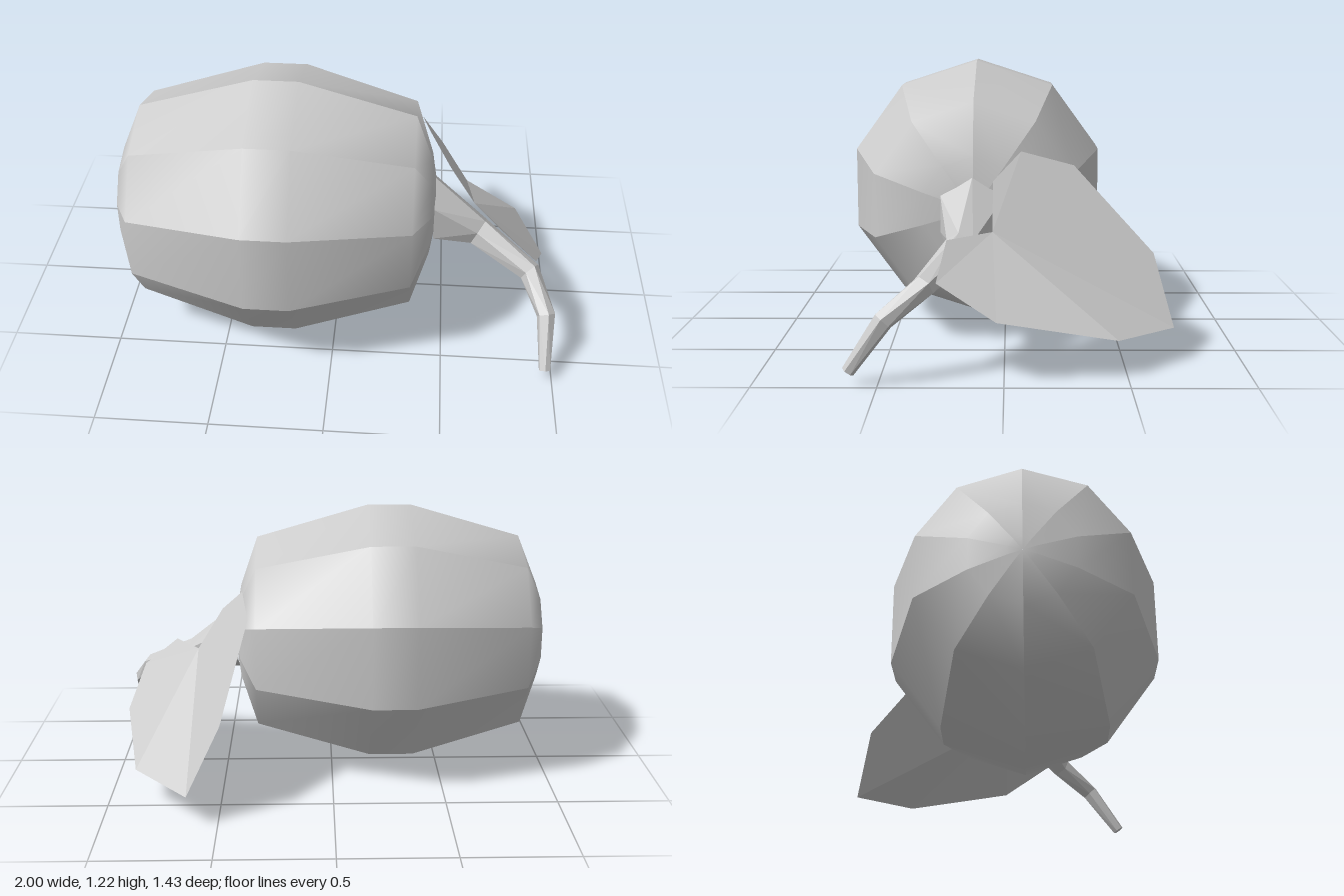
import * as THREE from 'three';

const grey = (opts = {}) => new THREE.MeshStandardMaterial({ color: 0xcccccc, ...opts });

function makeGeometry(points, index) {
  const g = new THREE.BufferGeometry().setFromPoints(points);
  g.setIndex(index);
  g.computeVertexNormals();
  return g;
}

// Skins a list of rings panel by panel: smooth along each panel, sharp between panels
function skinRings(rings) {
  const points = [], index = [], sides = rings[0].length;
  for (let i = 0; i < sides; i++) {
    const start = points.length;
    rings.forEach((ring, j) => {
      points.push(ring[i], ring[(i + 1) % sides]);
      if (j === 0) return;
      const a = start + (j - 1) * 2;
      index.push(a, a + 1, a + 2, a + 1, a + 3, a + 2);
    });
  }
  return makeGeometry(points, index);
}

// Regular ring around a centre, spanned by two axes
function ring(center, u, v, radius, sides) {
  return Array.from({ length: sides }, (_, i) => {
    const a = (i / sides) * Math.PI * 2;
    return center.clone()
      .addScaledVector(u, radius * Math.cos(a))
      .addScaledVector(v, radius * Math.sin(a));
  });
}

// Ten-sided ribbed body lying along x
function createBody() {
  const profile = [[-1, 0.001], [-1, 0.06], [-0.975, 0.23], [-0.88, 0.46], [-0.37, 0.61],
    [-0.17, 0.61], [0.345, 0.46], [0.425, 0.23], [0.455, 0.06], [0.455, 0.001]];
  const up = new THREE.Vector3(0, 1, 0), front = new THREE.Vector3(0, 0, 1);
  const rings = profile.map(([x, r]) => ring(new THREE.Vector3(x, 0.61, 0.137), up, front, r, 10));
  const mesh = new THREE.Mesh(skinRings(rings), grey());
  mesh.name = 'body';
  return mesh;
}

// Six-sided stem, wide at the body and bending down to a thin end
function createStem() {
  const path = [[0.44, 0.59, 0.14], [0.65, 0.49, 0.18], [0.885, 0.38, 0.32],
    [0.96, 0.26, 0.475], [0.965, 0.055, 0.617]].map((p) => new THREE.Vector3(...p));
  const radii = [0.16, 0.07, 0.05, 0.042, 0.027];
  const rings = path.map((p, i) => {
    const t = path[Math.min(i + 1, path.length - 1)].clone().sub(path[Math.max(i - 1, 0)]).normalize();
    if (i === 0) t.set(1, 0, 0);
    const u = new THREE.Vector3(0, 1, 0);
    u.addScaledVector(t, -t.y).normalize();
    return ring(p, u, t.clone().cross(u), radii[i], 6);
  });
  // Close the thin end
  rings.push(rings[4].map(() => path[4].clone()));
  const mesh = new THREE.Mesh(skinRings(rings), grey({ flatShading: true }));
  mesh.name = 'stem';
  return mesh;
}

// Folded leaf: a fan of flat facets around the point where it joins the stem
function createLeaf() {
  const base = [0.63, 0.55, 0.05];
  const outline = [[0.75, 0.54, 0.235], [0.915, 0.4, 0.27], [0.97, 0.255, 0.03],
    [0.875, 0.155, -0.46], [0.63, 0.14, -0.715], [0.485, 0.43, -0.64],
    [0.375, 0.795, -0.3], [0.41, 0.86, -0.07], [0.51, 0.745, 0.05]];
  const index = [];
  for (let i = 1; i < outline.length; i++) index.push(0, i, i + 1);
  const points = [base, ...outline].map((p) => new THREE.Vector3(...p));
  const mesh = new THREE.Mesh(makeGeometry(points, index),
    grey({ flatShading: true, side: THREE.DoubleSide }));
  mesh.name = 'leaf';
  return mesh;
}

export function createModel() {
  const model = new THREE.Group();
  model.name = 'gourd';
  model.add(createBody(), createStem(), createLeaf());
  return model;
}
